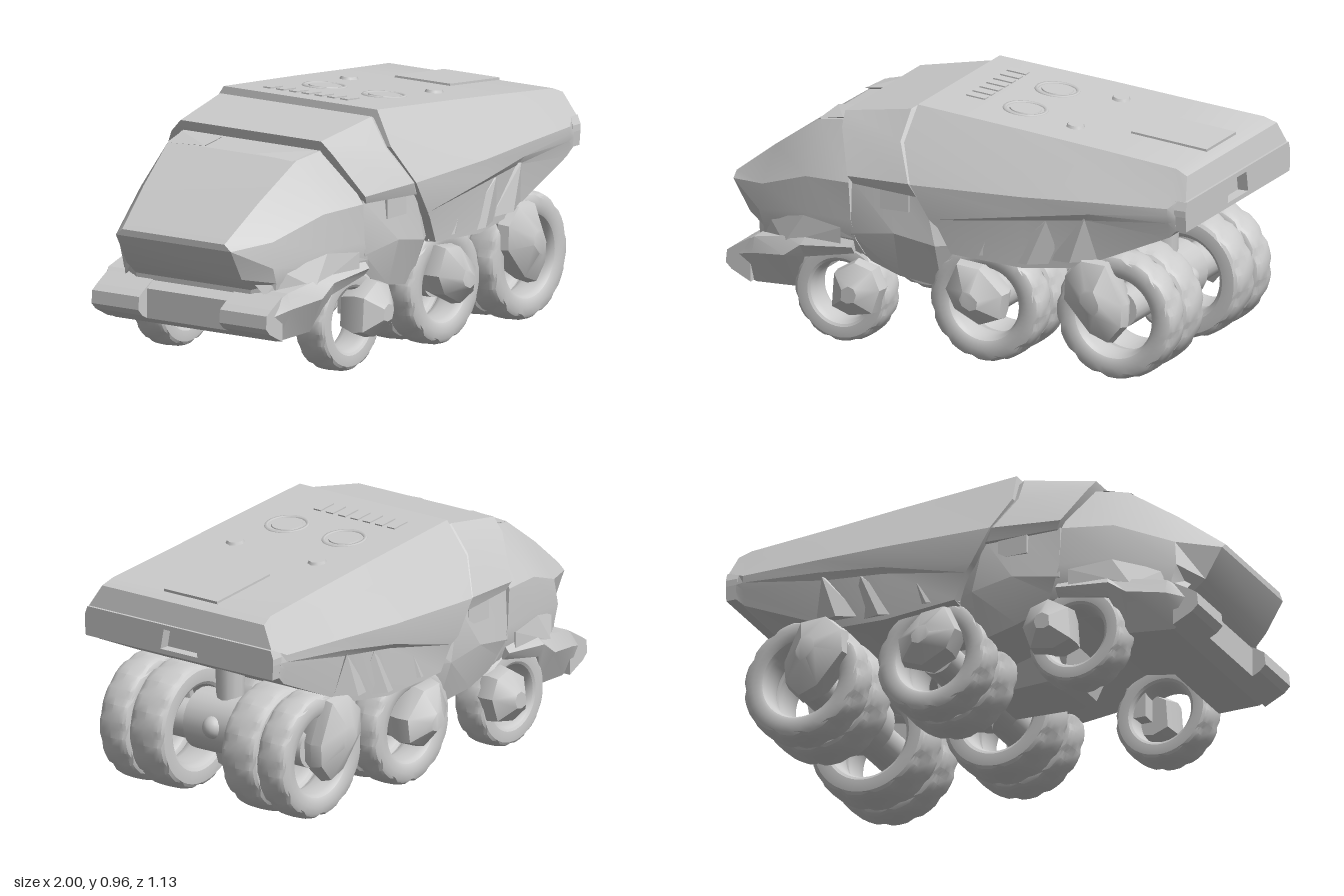
import * as THREE from 'three';
import { toCreasedNormals } from 'three/addons/utils/BufferGeometryUtils.js';
import { ConvexGeometry } from 'three/addons/geometries/ConvexGeometry.js';

const material = new THREE.MeshStandardMaterial({ color: 0xcccccc });

function add(parent, name, geometry, x = 0, y = 0, z = 0) {
  const mesh = new THREE.Mesh(geometry, material);
  mesh.name = name;
  mesh.position.set(x, y, z);
  parent.add(mesh);
  return mesh;
}

// Skin half-rings of [x, y, z] (top to bottom, z > 0), mirrored in z, ordered by rising x
function loft(sections) {
  const rings = sections.map(s => [...s, ...s.map(([x, y, z]) => [x, y, -z]).reverse()]);
  const n = rings[0].length, last = rings.length - 1, index = [];
  const quad = (a, b, c, d) => index.push(a, b, c, a, c, d);
  for (let i = 0; i < last; i++)
    for (let j = 0; j < n; j++) {
      const k = (j + 1) % n;
      quad(i * n + j, i * n + k, (i + 1) * n + k, (i + 1) * n + j);
    }
  for (let j = 0; j < n / 2 - 1; j++) {
    const e = last * n;
    quad(n - 1 - j, n - 2 - j, j + 1, j);
    quad(e + j, e + j + 1, e + n - 2 - j, e + n - 1 - j);
  }
  const g = new THREE.BufferGeometry();
  g.setAttribute('position', new THREE.Float32BufferAttribute(rings.flat(2), 3));
  g.setIndex(index);
  return toCreasedNormals(g, 0.35);
}

const convex = (points, side) =>
  new ConvexGeometry(points.map(([x, y, z]) => new THREE.Vector3(x, y, z * side)));

// Rounded open tyre with notches across the tread, axis along z
function tyre(R, inner, width) {
  const steps = 20, segments = 48, profile = [];
  const soft = v => Math.sign(v) * Math.abs(v) ** .6;
  for (let i = 0; i <= steps; i++) {
    const t = i / steps * Math.PI * 2 + Math.PI;
    profile.push(new THREE.Vector2((R + inner) / 2 + soft(Math.cos(t)) * (R - inner) / 2, soft(Math.sin(t)) * width / 2));
  }
  const g = new THREE.LatheGeometry(profile, segments);
  const p = g.attributes.position;
  for (let i = 0; i < p.count; i++) {
    const seg = Math.floor(i / profile.length) % segments, k = i % profile.length;
    const notch = (seg + (k < 10 ? 0 : 2)) % 4 === 0;
    if (notch && k > 6 && k < 14 && k !== 10) p.setXYZ(i, p.getX(i) * .965, p.getY(i), p.getZ(i) * .965);
  }
  g.rotateX(Math.PI / 2);
  return toCreasedNormals(g, 0.45);
}

// Hub cover: a side outline that narrows inwards and comes to a blunt tip outside
function hubCover(outline, tip, reach, side) {
  const points = [];
  for (const [scale, z] of [[.8, reach - .17], [1, reach - .1], [.93, reach - .055], [.3, reach]])
    for (const [x, y] of outline)
      points.push([tip[0] + (x - tip[0]) * scale, tip[1] + (y - tip[1]) * scale, z]);
  return toCreasedNormals(convex(points, side), 0.6);
}

function axleSet({ name, x, y, R, inner, dual, cover, tip, reach }) {
  const set = new THREE.Group();
  set.name = name;
  const along = (r, len) => new THREE.CylinderGeometry(r, r, len, 20).rotateX(Math.PI / 2);
  for (const side of [1, -1]) {
    add(set, 'outerTyre', tyre(R, inner, .14), x, y, side * .384);
    if (dual) add(set, 'innerTyre', tyre(R, inner, .17), x, y, side * .224);
    add(set, 'hubCover', hubCover(cover, tip, reach, side));
    if (!dual) add(set, 'steeringArm', new THREE.BoxGeometry(.08, .2, .08), x + .11, y + .1, side * .37);
  }
  if (dual) {
    add(set, 'axle', along(.075, .8), x, y + .02, 0);
    add(set, 'differential', along(.12, .27), x, y + .04, 0);
    add(set, 'differentialCover', new THREE.SphereGeometry(.045, 16, 12), x + .1, y + .05, 0);
    add(set, 'axlePost', new THREE.CylinderGeometry(.06, .05, .3, 12), x, y + .1 + R * .36, 0);
    add(set, 'lowerNub', new THREE.CylinderGeometry(.06, .045, .06, 8), x, y - .085, 0);
  }
  return set;
}

export function createModel() {
  const model = new THREE.Group();
  model.name = 'armouredTruck';

  // Main hull
  add(model, 'rearHull', loft([
    [[-.18, .962, .36], [-.2, .83, .44], [-.14, .69, .515], [-.06, .56, .512], [-.03, .53, .5], [.02, .43, .49], [.02, .42, .4]],
    [[.3, .918, .37], [.3, .84, .42], [.32, .7, .51], [.32, .62, .505], [.32, .6, .485], [.32, .41, .48], [.32, .41, .38]],
    [[.6, .888, .375], [.6, .82, .42], [.6, .71, .49], [.6, .66, .485], [.58, .63, .47], [.53, .43, .45], [.53, .43, .35]],
    [[.92, .856, .385], [.92, .82, .405], [.92, .718, .467], [.92, .69, .467], [.92, .66, .462], [.92, .6, .45], [.92, .6, .3]],
    [[.97, .835, .395], [.988, .75, .445], [.952, .745, .448], [.952, .69, .46], [.952, .67, .459], [.952, .63, .455], [.952, .625, .3]],
  ]));

  // Tail plate with a recessed hatch, outlined in z and y
  const plate = new THREE.Shape([[-.455, .632], [.455, .632], [.46, .69], [.46, .715], [.447, .748],
    [-.447, .748], [-.46, .715], [-.46, .69]].map(p => new THREE.Vector2(...p)));
  plate.holes.push(new THREE.Path([[-.09, .65], [-.075, .73], [.075, .73], [.09, .65]].map(p => new THREE.Vector2(...p))));
  add(model, 'tailPlate', new THREE.ExtrudeGeometry(plate, { depth: .05, bevelEnabled: false }).rotateY(Math.PI / 2), .945);

  add(model, 'collar', loft([
    [[-.5, .89, .33], [-.49, .84, .38], [-.42, .68, .48], [-.4, .65, .47]],
    [[-.21, .94, .355], [-.22, .83, .43], [-.15, .69, .51], [-.12, .64, .5]],
    [[-.16, .92, .34], [-.17, .82, .41], [-.1, .69, .49], [-.08, .64, .48]],
  ]));
  add(model, 'doorSection', loft([
    [[-.41, .66, .46], [-.41, .45, .47], [-.41, .37, .44]],
    [[-.25, .66, .47], [-.22, .48, .49], [-.22, .3, .44]],
    [[-.1, .66, .48], [-.05, .45, .485], [-.05, .27, .42]],
    [[.1, .6, .4], [.1, .45, .4], [.1, .4, .38]],
  ]));
  add(model, 'noseCab', loft([
    [[-1, .565, .24], [-1, .54, .27], [-.93, .42, .27], [-.87, .37, .27], [-.87, .3, .26]],
    [[-.82, .7, .27], [-.84, .56, .35], [-.85, .46, .36], [-.83, .4, .36], [-.82, .3, .35]],
    [[-.62, .832, .3], [-.62, .64, .43], [-.62, .5, .44], [-.62, .43, .44], [-.62, .36, .42]],
    [[-.44, .86, .33], [-.42, .65, .47], [-.41, .5, .47], [-.39, .43, .47], [-.36, .37, .45]],
  ]));
  add(model, 'chinAndFenders', loft([
    [[-.91, .325, .39], [-.91, .29, .41], [-.91, .21, .39]],
    [[-.84, .37, .42], [-.84, .31, .44], [-.85, .18, .38]],
    [[-.7, .395, .44], [-.69, .33, .475], [-.67, .19, .4]],
    [[-.6, .42, .45], [-.62, .38, .48], [-.61, .33, .46]],
    [[-.4, .43, .46], [-.4, .4, .485], [-.4, .37, .46]],
  ]));
  add(model, 'bellyPan', loft([
    [[-.33, .4, .2], [-.28, .21, .14]],
    [[-.2, .4, .22], [-.22, .19, .14]],
    [[.05, .4, .2], [.05, .19, .12]],
  ]));

  // Bumper prongs, cheeks, brows, side gussets and door windows, one per side
  for (const side of [1, -1]) {
    const prong = [];
    for (const z of [.19, .41])
      prong.push([-.96, .3, z], [-.965, .25, z], [-.93, .32, z], [-.86, .36, z], [-.86, .185, z], [-.94, .225, z]);
    add(model, 'bumperProng', convex(prong, side));
    add(model, 'cheekPanel', convex([[-.88, .4, .29], [-.8, .44, .37], [-.62, .49, .447], [-.45, .47, .475],
      [-.45, .4, .475], [-.7, .37, .45], [-.86, .35, .33], [-.6, .42, .3]], side));
    for (const [x, w, y] of [[.14, .13, .42], [.34, .13, .41], [.52, .1, .44]])
      add(model, 'sideGusset', convex([[x - w, y + .01, .46], [x + w, y + .03, .45], [x, y + .02, .492],
        [x + w * .6, y + .2, .485], [x, y + .19, .4]], side));
    add(model, 'noseBrow', convex([[-.63, .84, .12], [-.52, .855, .12], [-.63, .83, .29], [-.52, .855, .31],
      [-.5, .8, .2]], side));
    add(model, 'doorWindow', new THREE.BoxGeometry(.12, .08, .03), -.22, .61, side * .468);
  }

  // Roof fittings, laid on the sloping deck
  const deck = new THREE.Group();
  deck.name = 'roofFittings';
  deck.position.set(-.18, .962, 0);
  deck.rotation.z = -.097;
  model.add(deck);
  for (const side of [1, -1]) {
    add(deck, 'roofHatchRing', new THREE.TorusGeometry(.08, .01, 6, 28).rotateX(Math.PI / 2), .35, -.002, side * .14);
    add(deck, 'roofHatch', new THREE.CylinderGeometry(.06, .065, .012, 24), .35, 0, side * .14);
    add(deck, 'roofPort', new THREE.CylinderGeometry(.032, .042, .02, 8), .59, .003, side * .2);
  }
  for (let i = -3; i <= 3; i++)
    add(deck, 'roofVent', new THREE.BoxGeometry(.08, .01, .035), .14, .001, i * .06 - .05);
  add(deck, 'rearRoofPanel', new THREE.BoxGeometry(.32, .014, .26), .95, .003, 0);

  // Running gear
  const axles = [
    { name: 'frontWheels', x: -.465, y: .205, R: .2, inner: .115, dual: false, reach: .56, tip: [-.38, .23],
      cover: [[-.48, .16], [-.4, .13], [-.3, .15], [-.265, .25], [-.3, .33], [-.38, .355], [-.47, .3]] },
    { name: 'middleWheels', x: .14, y: .238, R: .235, inner: .135, dual: true, reach: .567, tip: [.13, .27],
      cover: [[0, .3], [.04, .22], [.15, .165], [.24, .2], [.255, .3], [.15, .4], [.05, .41]] },
    { name: 'rearWheels', x: .685, y: .253, R: .25, inner: .15, dual: true, reach: .54, tip: [.63, .33],
      cover: [[.485, .31], [.6, .18], [.68, .15], [.74, .22], [.745, .31], [.67, .475], [.56, .48], [.49, .41]] },
  ];
  for (const spec of axles) model.add(axleSet(spec));
  return model;
}
